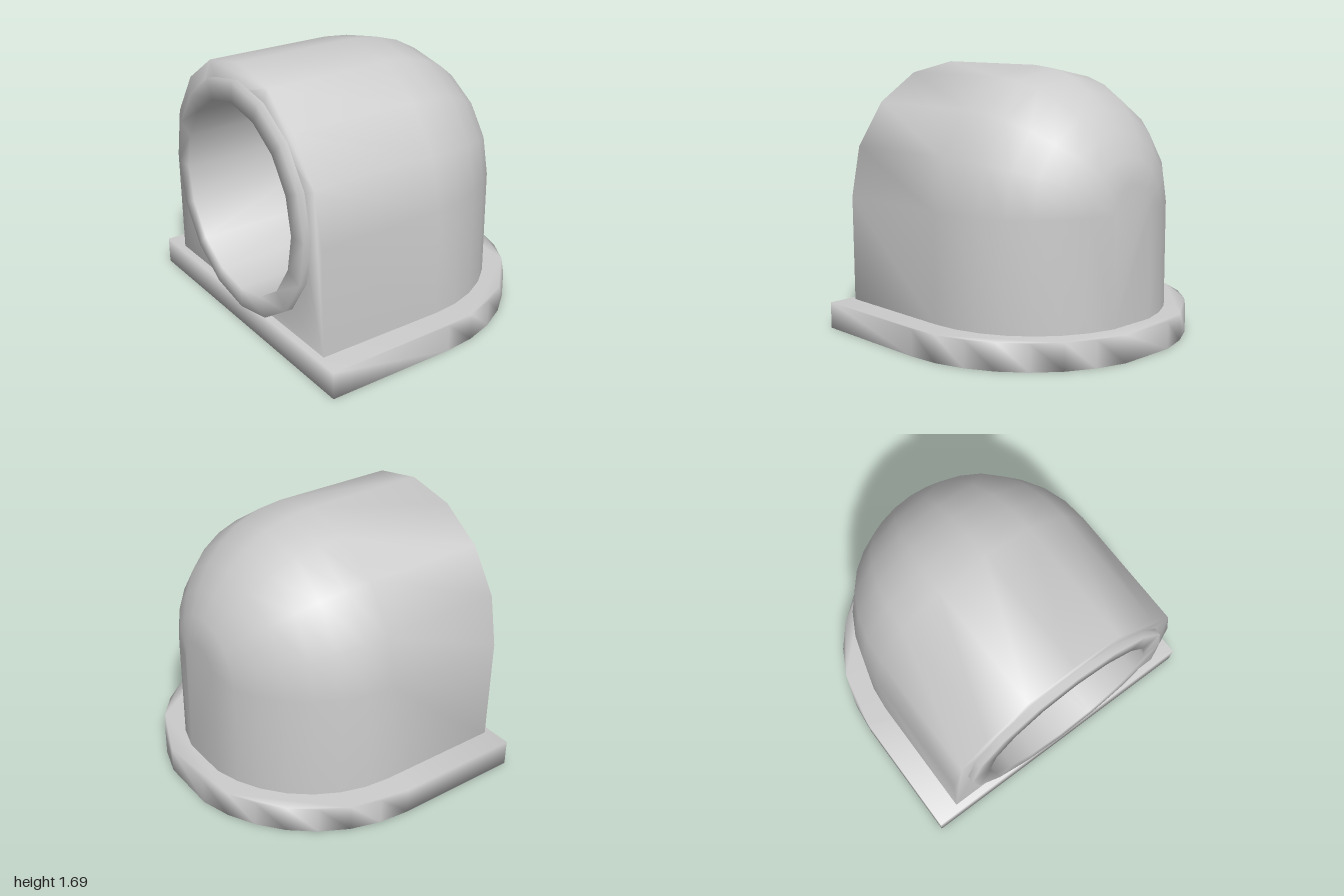
import * as THREE from 'three';
import { mergeGeometries, mergeVertices } from 'three/addons/utils/BufferGeometryUtils.js';

const STEP = Math.PI / 16;
const AXIS_Y = 0.85; // height of the opening's axis

// Weld all corners so the shading runs smoothly over the whole part
function smooth(geometry) {
  geometry.deleteAttribute('normal');
  geometry.deleteAttribute('uv');
  const welded = mergeVertices(geometry, 1e-4);
  welded.computeVertexNormals();
  return welded;
}

// Round arch on straight legs, from the +x foot over the top to the -x foot
function arch(r, foot) {
  const pts = [new THREE.Vector2(r, foot)];
  for (let i = 0; i <= 8; i++) {
    const a = i * 2 * STEP;
    pts.push(new THREE.Vector2(r * Math.cos(a), AXIS_Y + r * Math.sin(a)));
  }
  pts.push(new THREE.Vector2(-r, foot));
  return pts;
}

// D-shaped plate: straight front and sides, rounded back
function basePlateGeometry() {
  const pts = [new THREE.Vector2(1, -0.905)];
  for (let i = 0; i <= 16; i++) {
    if (i === 8) continue; // flat at the very back
    pts.push(new THREE.Vector2(Math.cos(i * STEP), -0.07 + Math.sin(i * STEP)));
  }
  pts.push(new THREE.Vector2(-1, -0.905));
  const g = new THREE.ExtrudeGeometry(new THREE.Shape(pts), { depth: 0.17, bevelEnabled: false });
  g.rotateX(-Math.PI / 2);
  return smooth(g);
}

// Arched hood whose sections shrink in a quarter circle towards the back
function hoodGeometry() {
  const R = 0.84, foot = 0.15, front = 0.86, bend = 0.04;
  const sections = [[front, R]];
  for (let i = 0; i <= 7; i++) {
    sections.push([bend - R * Math.sin(i * STEP), R * Math.cos(i * STEP)]);
  }
  const pos = [], index = [];
  for (const [z, r] of sections) for (const p of arch(r, foot)) pos.push(p.x, p.y, z);
  const n = arch(R, foot).length;
  for (let i = 0; i < sections.length - 1; i++) {
    for (let j = 0; j < n - 1; j++) {
      const a = i * n + j, c = a + n;
      index.push(a, c, a + 1, a + 1, c, c + 1);
    }
  }
  // narrow flat strip closing the back
  const last = (sections.length - 1) * n;
  for (let j = 1; j < n - 1; j++) index.push(last, last + j + 1, last + j);

  const shell = new THREE.BufferGeometry();
  shell.setAttribute('position', new THREE.Float32BufferAttribute(pos, 3));
  shell.setIndex(index);

  // front wall with a round hole
  const wall = new THREE.Shape(arch(R, foot));
  const hole = [];
  for (let i = 0; i < 16; i++) {
    const a = -i * 2 * STEP;
    hole.push(new THREE.Vector2(0.65 * Math.cos(a), AXIS_Y + 0.65 * Math.sin(a)));
  }
  wall.holes.push(new THREE.Path(hole));
  const face = new THREE.ShapeGeometry(wall);
  face.translate(0, 0, front);
  face.deleteAttribute('normal');
  face.deleteAttribute('uv');
  return smooth(mergeGeometries([shell, face]));
}

// Raised rim running into a round-ended hollow
function openingGeometry() {
  const r = 0.605;
  const pts = [
    new THREE.Vector2(0.735, 0.84),
    new THREE.Vector2(0.735, 0.907),
    new THREE.Vector2(r, 0.907),
  ];
  for (let i = 0; i <= 8; i++) {
    const a = i * 2 * STEP / 2;
    pts.push(new THREE.Vector2(i === 8 ? 0 : r * Math.cos(a), 0.04 - r * Math.sin(a)));
  }
  const g = new THREE.LatheGeometry(pts, 16);
  g.rotateX(Math.PI / 2);
  g.translate(0, AXIS_Y, 0);
  return smooth(g);
}

export function createModel() {
  const group = new THREE.Group();
  const material = new THREE.MeshStandardMaterial({ color: 0xcccccc });
  const add = (name, geometry) => {
    const mesh = new THREE.Mesh(geometry, material);
    mesh.name = name;
    group.add(mesh);
  };
  add('basePlate', basePlateGeometry());
  add('hood', hoodGeometry());
  add('openingRim', openingGeometry());
  return group;
}
